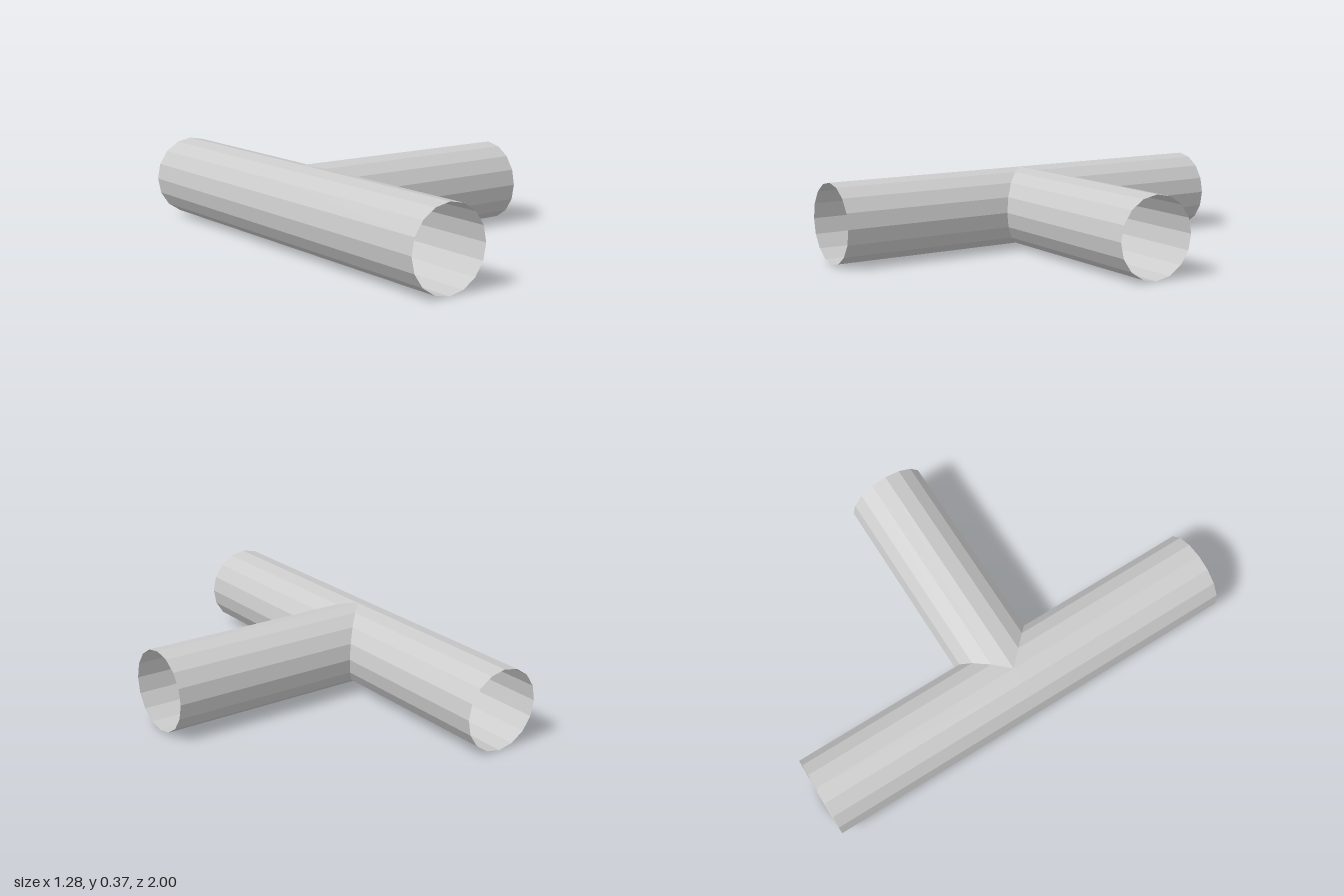
import * as THREE from 'three';

const R = 0.187;        // pipe radius
const SIDES = 16;
const AXIS_X = -0.453;  // centre line of the main pipe

const material = new THREE.MeshStandardMaterial({
  color: 0xcccccc, flatShading: true, side: THREE.DoubleSide,
});

// Open pipe along +z whose inner end is mitred: start(x) gives its z at each lateral offset
function pipeArm(name, length, start, turn) {
  const geometry = new THREE.CylinderGeometry(R, R, 1, SIDES, 1, true);
  geometry.rotateX(Math.PI / 2);
  const p = geometry.attributes.position;
  for (let i = 0; i < p.count; i++) {
    p.setZ(i, p.getZ(i) > 0 ? length : start(p.getX(i)));
  }
  geometry.rotateY(turn);
  geometry.computeVertexNormals();
  const mesh = new THREE.Mesh(geometry, material);
  mesh.name = name;
  return mesh;
}

// Small webs under the crown and over the floor of the joint
function jointWebs() {
  const a = (Math.PI * 2) / SIDES;
  const s = R * Math.sin(a), c = R * Math.cos(a);
  const points = [];
  for (const v of [1, -1]) {
    for (const w of [1, -1]) {
      points.push(0, v * R, 0, s, v * c, w * s, -s, v * c, w * s);
    }
  }
  const geometry = new THREE.BufferGeometry();
  geometry.setAttribute('position', new THREE.Float32BufferAttribute(points, 3));
  geometry.computeVertexNormals();
  const mesh = new THREE.Mesh(geometry, material);
  mesh.name = 'jointWebs';
  return mesh;
}

export function createModel() {
  const group = new THREE.Group();
  group.name = 'teePipe';

  const tee = new THREE.Group();
  tee.name = 'tee';
  tee.position.set(AXIS_X, R, 0);

  // Main pipe: two mirrored halves, cut at 45 degrees on the branch side
  tee.add(pipeArm('mainPipeFront', 1, (x) => Math.max(0, x), 0));
  tee.add(pipeArm('mainPipeBack', 1, (x) => Math.max(0, -x), Math.PI));

  // Branch pipe, with a pointed end that fits the opening
  tee.add(pipeArm('branchPipe', 0.64 - AXIS_X, (x) => Math.abs(x), Math.PI / 2));
  tee.add(jointWebs());

  group.add(tee);
  return group;
}
